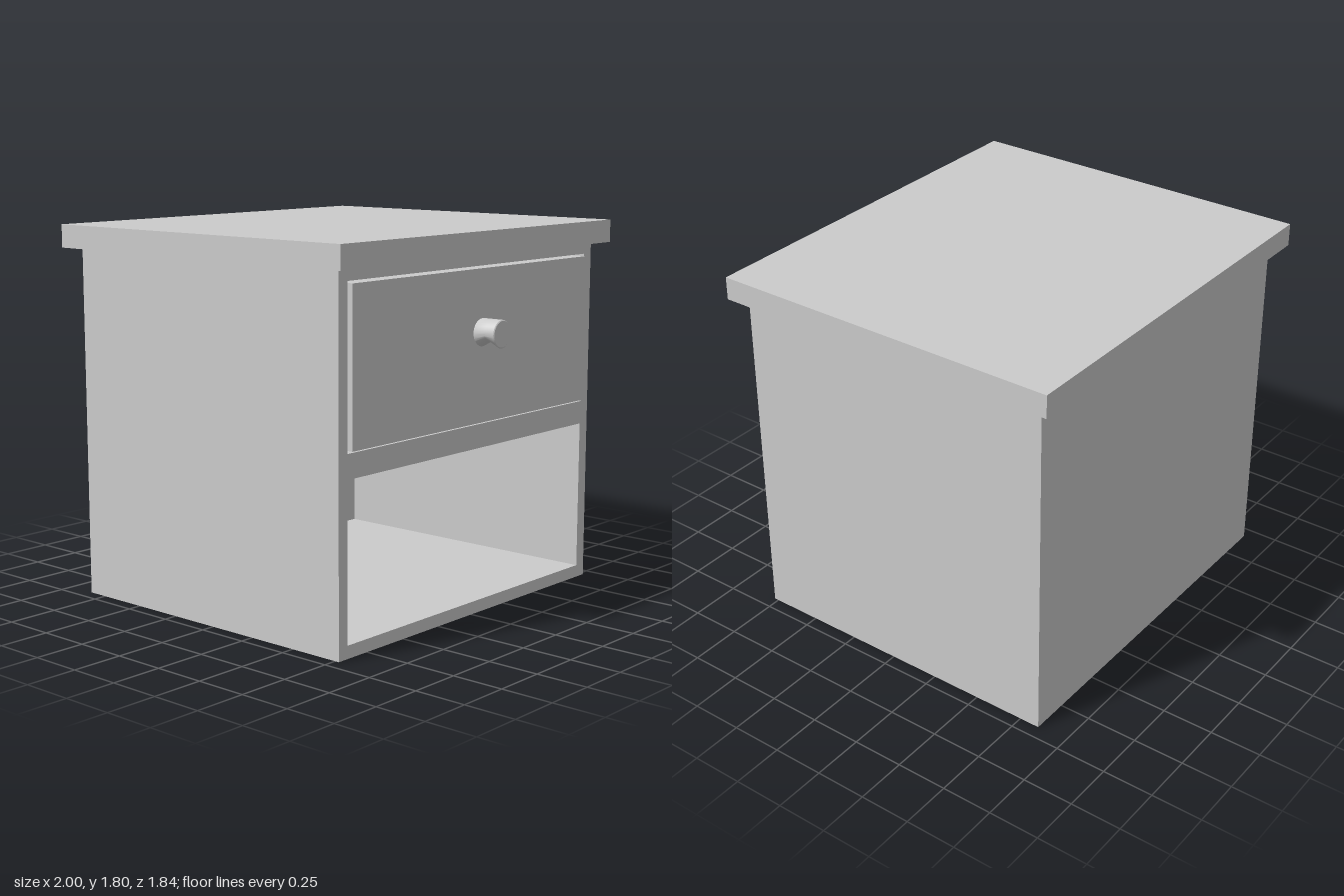
import * as THREE from 'three';
import { toCreasedNormals } from 'three/addons/utils/BufferGeometryUtils.js';

const solid = new THREE.MeshStandardMaterial({ color: 0xcccccc });
const sheet = new THREE.MeshStandardMaterial({ color: 0xcccccc, side: THREE.DoubleSide });

// Box between two corners; faces listed in omit are left open
// (0:+x 1:-x 2:+y 3:-y 4:+z 5:-z)
function box(name, min, max, omit = []) {
  const size = max.map((v, i) => v - min[i]);
  const geo = new THREE.BoxGeometry(...size);
  geo.translate(...max.map((v, i) => (v + min[i]) / 2));
  if (omit.length) {
    const index = Array.from(geo.index.array);
    geo.setIndex(index.filter((_, i) => !omit.includes(Math.floor(i / 6))));
    geo.clearGroups();
  }
  const mesh = new THREE.Mesh(geo, omit.length ? sheet : solid);
  mesh.name = name;
  return mesh;
}

function rectangle(PathType, x0, y0, x1, y1) {
  return new PathType([[x0, y0], [x1, y0], [x1, y1], [x0, y1]].map(p => new THREE.Vector2(...p)));
}

export function createModel() {
  const group = new THREE.Group();
  group.name = 'nightstand';
  const W = 0.935, H = 1.69, BACK = -0.85, FRONT = 0.772, INNER_BACK = -0.72;

  // Overhanging top slab
  group.add(box('tabletop', [-1, H, -0.92], [1, 1.8, 0.84]));

  // Thin outer shell, open underneath
  group.add(box('cabinetShell', [-W, 0, BACK], [W, H, FRONT], [2, 3, 4]));

  // Front frame with two openings, each lined by a recess open to the front
  const openings = [
    ['shelfCompartment', -0.878, 0.06, 0.874, 0.79],
    ['drawerCompartment', -0.88, 0.903, 0.877, 1.636],
  ];
  const face = rectangle(THREE.Shape, -W, 0, W, H);
  for (const [name, x0, y0, x1, y1] of openings) {
    face.holes.push(rectangle(THREE.Path, x0, y0, x1, y1));
    group.add(box(name, [x0, y0, INNER_BACK], [x1, y1, FRONT], [4]));
  }
  const frame = new THREE.Mesh(new THREE.ShapeGeometry(face), sheet);
  frame.position.z = FRONT;
  frame.name = 'frontFrame';
  group.add(frame);

  // Drawer, standing slightly proud of the frame
  group.add(box('drawer', [-0.867, 0.913, -0.65], [0.863, 1.626, 0.79]));

  // Round knob with a finger notch along its underside
  const profile = [[0, -0.058], [0.063, -0.058], [0.065, -0.054], [0.065, 0.004],
    [0.065, 0.054], [0.061, 0.058], [0, 0.058]].map(p => new THREE.Vector2(...p));
  const knobGeo = new THREE.LatheGeometry(profile, 32);
  knobGeo.rotateX(Math.PI / 2);
  const pos = knobGeo.attributes.position;
  for (let i = 0; i < pos.count; i++) {
    const y = pos.getY(i);
    if (Math.abs(pos.getZ(i)) < 0.02 && y < 0) pos.setY(i, y * 0.5);
  }
  const knob = new THREE.Mesh(toCreasedNormals(knobGeo, 0.6), sheet);
  knob.position.set(0.012, 1.337, 0.861);
  knob.name = 'knob';
  group.add(knob);

  return group;
}
